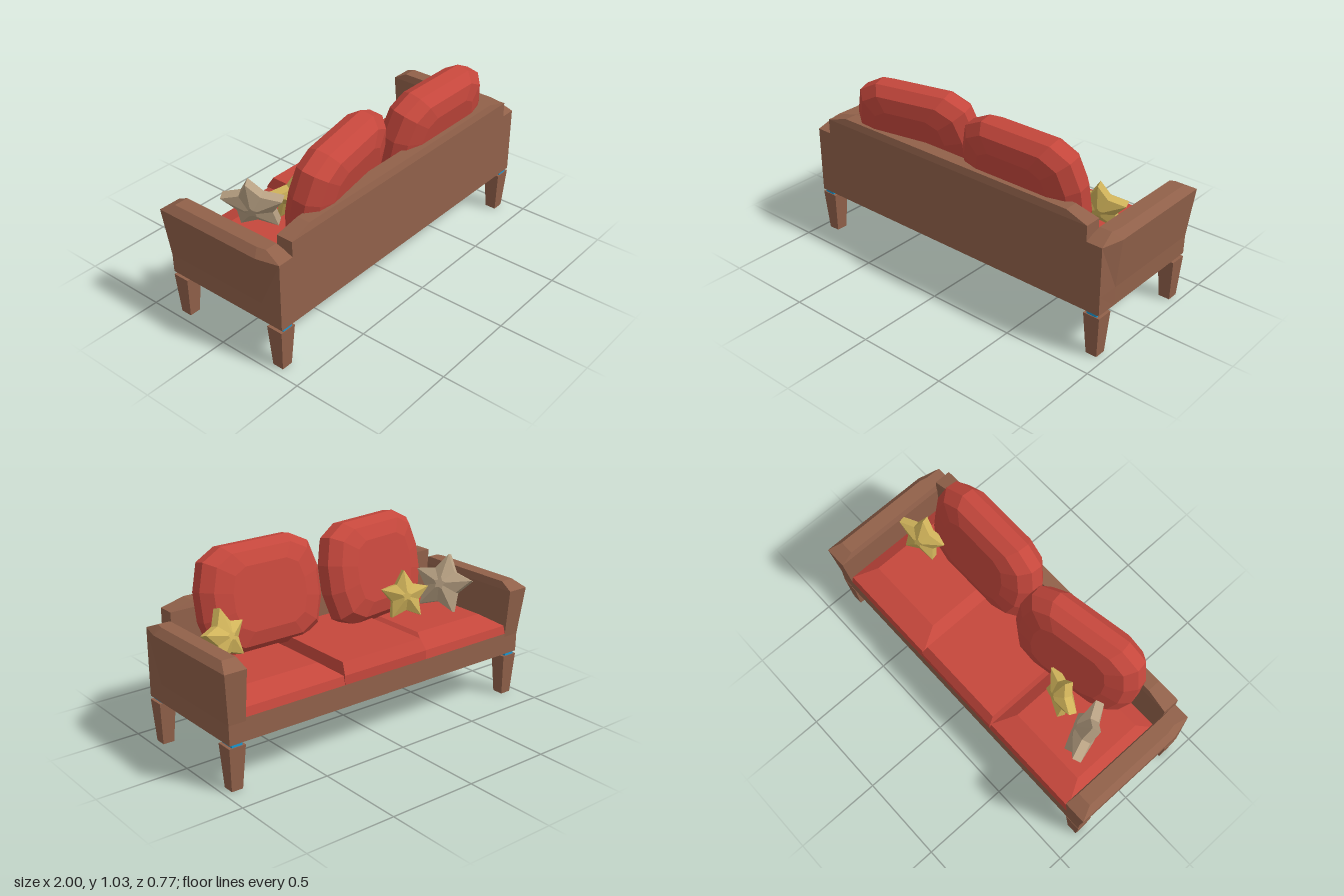
import * as THREE from 'three';

const mat = (name, color) => {
  const m = new THREE.MeshStandardMaterial({ color, flatShading: true });
  m.name = name;
  return m;
};

// Closed solid through rings of [x, y, z] points, capped with fans and wound outward.
function loft(rings) {
  const n = rings[0].length, tris = [];
  const mid = r => [0, 1, 2].map(k => r.reduce((s, p) => s + p[k], 0) / n);
  const first = mid(rings[0]), last = mid(rings[rings.length - 1]);
  for (let j = 0; j < n; j++) {
    const k = (j + 1) % n;
    tris.push([first, rings[0][k], rings[0][j]]);
    for (let i = 0; i < rings.length - 1; i++) {
      const a = rings[i], b = rings[i + 1];
      tris.push([a[j], a[k], b[k]], [a[j], b[k], b[j]]);
    }
    tris.push([last, rings[rings.length - 1][j], rings[rings.length - 1][k]]);
  }
  const v = p => new THREE.Vector3(...p);
  const volume = tris.reduce((s, t) => s + v(t[0]).sub(v(first)).dot(v(t[1]).sub(v(first)).cross(v(t[2]).sub(v(first)))), 0);
  if (volume < 0) tris.forEach(t => t.reverse());
  const g = new THREE.BufferGeometry();
  g.setAttribute('position', new THREE.Float32BufferAttribute(tris.flat(2), 3));
  g.computeVertexNormals();
  return g;
}

// Horizontal rectangle ring
const rect = (y, x0, x1, z0, z1) => [[x0, y, z0], [x1, y, z0], [x1, y, z1], [x0, y, z1]];

// Puffy throw cushion with a rounded outline
function pillow(w, h) {
  const q = [[1, 0.28], [0.88, 0.79], [0.57, 1]];
  const outline = [...q, ...[...q].reverse().map(([x, y]) => [-x, y]),
    ...q.map(([x, y]) => [-x, -y]), ...[...q].reverse().map(([x, y]) => [x, -y])];
  return loft([[-0.115, 0.6], [-0.09, 0.86], [-0.035, 1], [0.035, 1], [0.09, 0.86], [0.115, 0.6]]
    .map(([z, s]) => outline.map(([x, y]) => [x * w * s, y * h * s, z])));
}

// Puffy five-pointed star
function star(r, inner, depth) {
  const ring = (z, s) => Array.from({ length: 10 }, (_, i) => {
    const a = Math.PI / 2 + i * Math.PI / 5, q = r * s * (i % 2 ? inner : 1);
    return [Math.cos(a) * q, Math.sin(a) * q, z];
  });
  return loft([ring(-depth, 0.2), ring(-depth * 0.4, 0.95), ring(depth * 0.4, 0.95), ring(depth, 0.2)]);
}

export function createModel() {
  const group = new THREE.Group();
  group.name = 'sofa';
  const brown = mat('brown frame', 0x91614a);
  const red = mat('red fabric', 0xc5473c);
  const yellow = mat('yellow fabric', 0xd0b35a);
  const beige = mat('beige fabric', 0xb9a284);
  const blue = mat('blue fitting', 0x1c98d2);
  const add = (name, geometry, material, pos = [0, 0, 0], rot = [0, 0, 0]) => {
    const m = new THREE.Mesh(geometry, material);
    m.name = name;
    m.position.set(...pos);
    m.rotation.set(...rot, 'YXZ');
    group.add(m);
  };

  // Frame
  add('base', loft([rect(0.255, -0.9, 0.9, -0.36, 0.385), rect(0.385, -0.9, 0.9, -0.36, 0.385)]), brown);
  add('backrest', loft([rect(0.37, -0.88, 0.88, 0.29, 0.385), rect(0.72, -0.88, 0.88, 0.29, 0.385),
    rect(0.757, -0.75, 0.75, 0.3, 0.375)]), brown);

  for (const s of [1, -1]) {
    const side = s > 0 ? 'left' : 'right';
    // Arm flares outward and forward towards a bevelled top
    const arm = (y, x0, x1, x2, z0, zb, z1) =>
      [[x0, z0], [x1, z0], [x1, zb], [x2, z1], [x0, z1]].map(([x, z]) => [s * x, y, z]);
    add(side + 'Arm', loft([
      arm(0.255, 0.875, 0.97, 0.97, -0.36, 0.26, 0.385),
      arm(0.36, 0.875, 0.972, 0.97, -0.36, 0.26, 0.385),
      arm(0.635, 0.875, 1, 0.97, -0.385, 0.26, 0.385),
      arm(0.675, 0.885, 0.965, 0.955, -0.31, 0.24, 0.29)]), brown);

    // Tapered legs with blue fittings
    for (const [end, z] of [['back', 0.337], ['front', -0.312]]) {
      const x = s * 0.925;
      const sq = (y, w) => rect(y, x - w, x + w, z - w, z + w);
      add(`${side} ${end} leg`, loft([sq(0, 0.032), sq(0.238, 0.047)]), brown);
      add(`${side} ${end} leg fitting`, new THREE.BoxGeometry(0.06, 0.022, 0.085), blue, [x, 0.247, z]);
    }

    // Domed side seat cushion
    const seat = (y, x0, x1, z0, z1) => rect(y, s * x0, s * x1, z0, z1);
    add(side + 'SeatCushion', loft([seat(0.38, 0.27, 0.875, -0.362, 0.29), seat(0.425, 0.272, 0.873, -0.35, 0.285),
      seat(0.475, 0.34, 0.8, -0.22, 0.2)]), red);
  }
  add('middleSeatCushion', loft([rect(0.38, -0.275, 0.275, -0.362, 0.29), rect(0.43, -0.275, 0.275, -0.36, 0.29),
    rect(0.49, -0.262, 0.262, -0.325, 0.28)]), red);

  // Loose back cushions leaning on the backrest
  add('leftBackCushion', pillow(0.372, 0.285), red, [0.385, 0.735, 0.225], [0.2, 0, 0]);
  add('rightBackCushion', pillow(0.372, 0.285), red, [-0.35, 0.74, 0.2], [0.2, 0.18, 0.025]);

  // Star cushions
  add('leftStarCushion', star(0.155, 0.56, 0.055), yellow, [0.72, 0.625, 0.05], [0.28, 0.3, 0]);
  add('rightStarCushion', star(0.15, 0.56, 0.055), yellow, [-0.435, 0.605, 0], [0.25, -0.4, 0]);
  add('beigeStarCushion', star(0.18, 0.58, 0.06), beige, [-0.67, 0.64, -0.06], [0.35, -1.1, 0.1]);

  return group;
}
